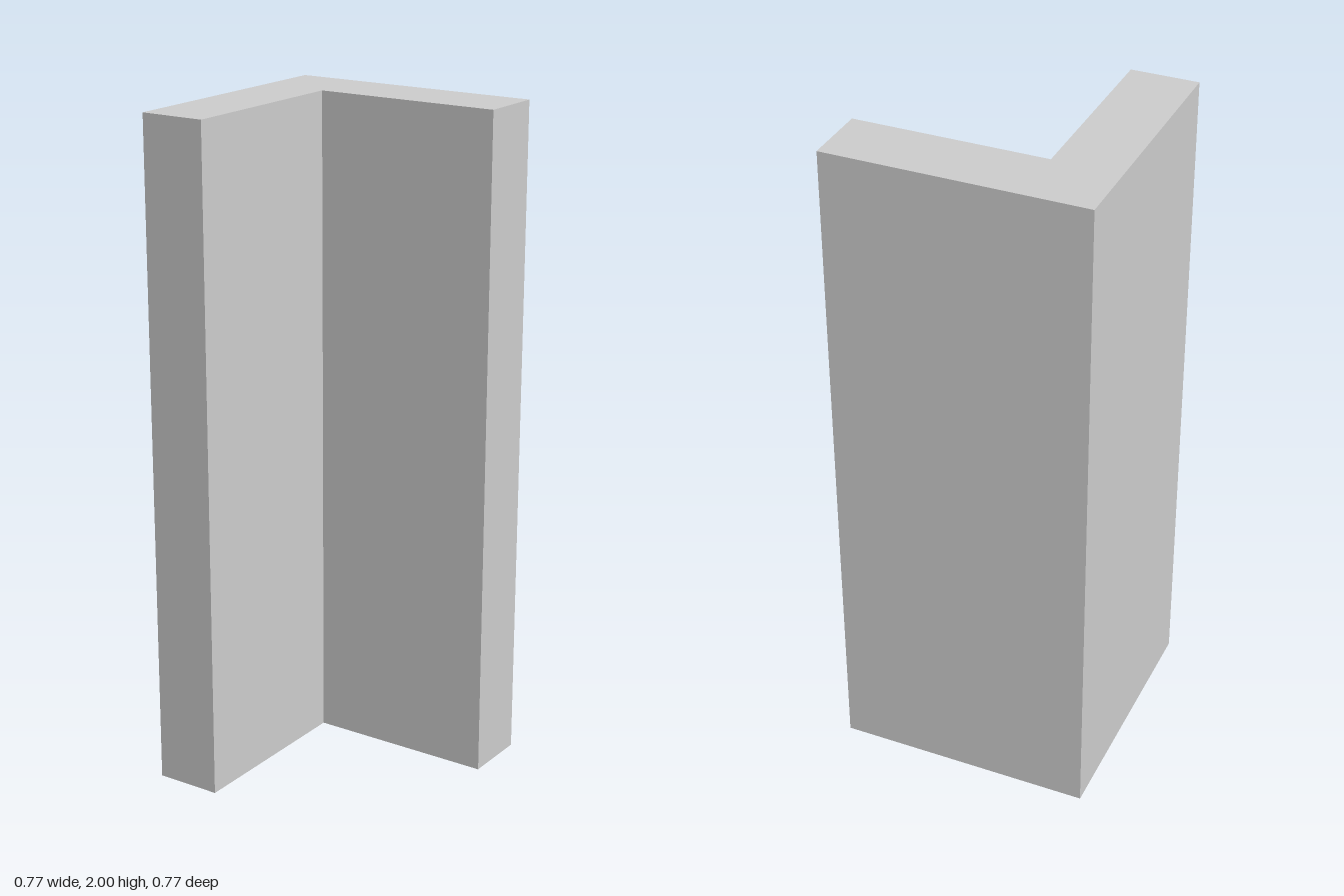
import * as THREE from 'three';

export function createModel() {
  const group = new THREE.Group();
  group.name = 'cornerPost';

  const half = 0.383, inner = -0.184, height = 2;

  // L-shaped plan, drawn as (x, -z) so that it stands up after the turn
  const plan = new THREE.Shape([
    [-half, -half], [inner, -half], [inner, -inner],
    [half, -inner], [half, half], [-half, half],
  ].map(([x, y]) => new THREE.Vector2(x, y)));

  // Upright angle section: one wing along the back, one along the right side
  const geometry = new THREE.ExtrudeGeometry(plan, { depth: height, bevelEnabled: false });
  geometry.rotateX(-Math.PI / 2);

  const post = new THREE.Mesh(
    geometry,
    new THREE.MeshStandardMaterial({ color: 0xcccccc, flatShading: true })
  );
  post.name = 'angleSection';
  group.add(post);
  return group;
}
